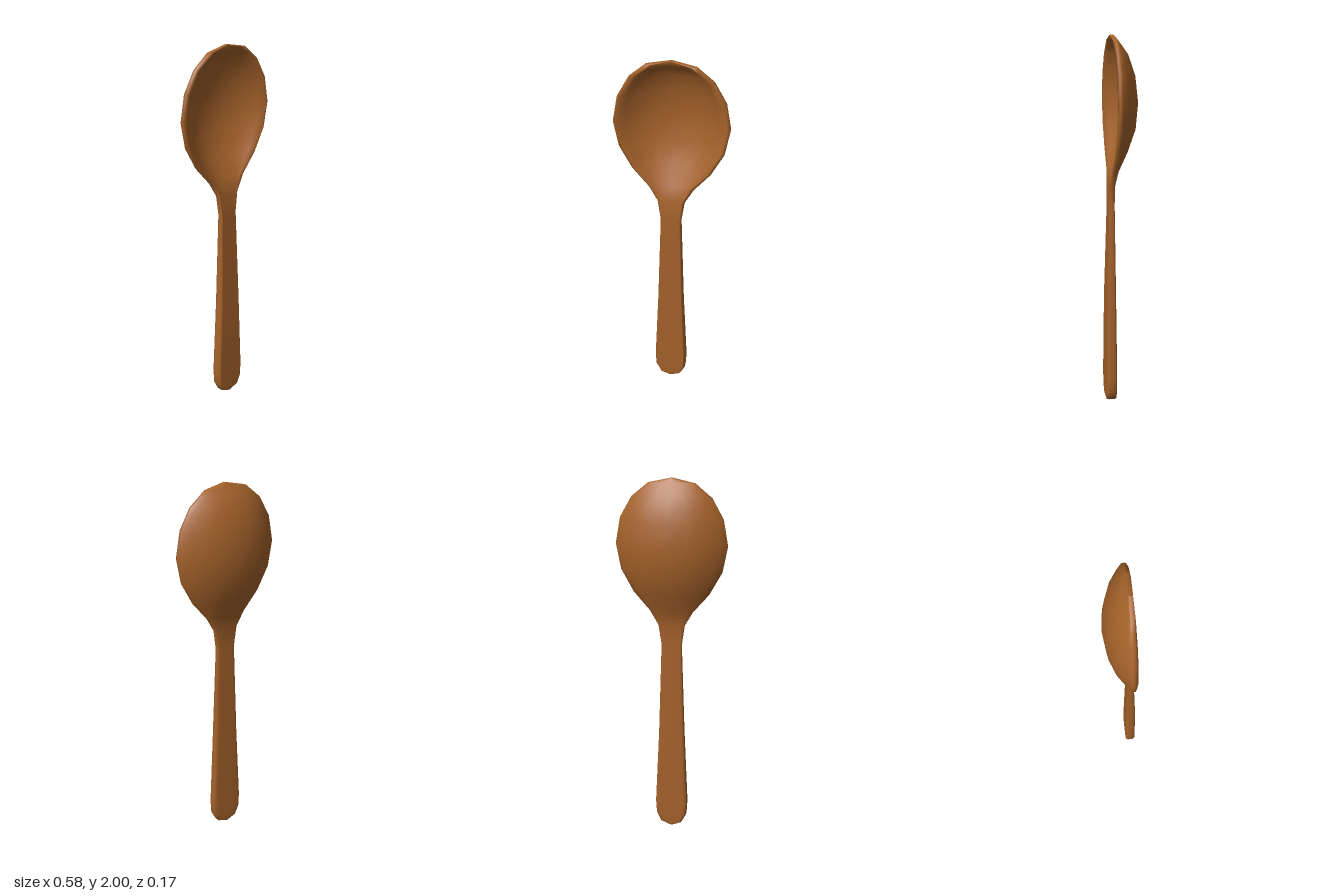
import * as THREE from 'three';

// Stations from handle end to bowl tip:
// y, half width, back z, edge z (back), edge z (front), front z, dish z, bowl shape 0..1
const STATIONS = [
  [0.005, 0, 0.037, 0.045, 0.07, 0.078, 0.078, 0],
  [0.03, 0.06, 0.03, 0.042, 0.072, 0.084, 0.084, 0],
  [0.08, 0.085, 0.029, 0.042, 0.072, 0.085, 0.085, 0],
  [0.16, 0.09, 0.029, 0.042, 0.072, 0.085, 0.085, 0],
  [0.6, 0.07, 0.032, 0.043, 0.07, 0.081, 0.081, 0],
  [1.12, 0.054, 0.037, 0.043, 0.058, 0.066, 0.066, 0],
  [1.23, 0.07, 0.036, 0.042, 0.053, 0.063, 0.062, 0.3],
  [1.31, 0.115, 0.015, 0.038, 0.05, 0.059, 0.038, 0.8],
  [1.41, 0.2, -0.033, 0.034, 0.048, 0.057, -0.018, 1],
  [1.53, 0.265, -0.074, 0.032, 0.047, 0.056, -0.06, 1],
  [1.665, 0.29, -0.086, 0.032, 0.047, 0.056, -0.074, 1],
  [1.8, 0.265, -0.071, 0.032, 0.047, 0.056, -0.058, 1],
  [1.905, 0.205, -0.034, 0.033, 0.047, 0.056, -0.02, 1],
  [1.95, 0.15, -0.002, 0.034, 0.047, 0.056, 0.018, 1],
  [1.975, 0.12, 0.017, 0.035, 0.048, 0.056, 0.054, 1],
  [2.0, 0, 0.034, 0.036, 0.049, 0.055, 0.055, 1],
];

// Half profile from edge to centre: [x fraction, depth fraction]
const BOWL = [[1, 0], [0.87, 0.27], [0.66, 0.62], [0.36, 0.9], [0, 1]];
const BAR = [[1, 0], [0.95, 0.7], [0.8, 1], [0.4, 1], [0, 1]];

// One closed cross-section, round the back and then across the front
function section([y, w, back, edgeBack, edgeFront, front, dish, bowl]) {
  const half = (halfWidth, edge, depth) => BOWL.map(([bx, bd], i) => [
    halfWidth * THREE.MathUtils.lerp(BAR[i][0], bx, bowl),
    THREE.MathUtils.lerp(edge, depth, THREE.MathUtils.lerp(BAR[i][1], bd, bowl)),
  ]);
  const mirror = (pts) => pts.slice(0, -1).reverse().map(([x, z]) => [-x, z]);
  const outer = half(w, edgeBack, back);
  const inner = half(w - Math.min(0.018, w * 0.12), front, dish).reverse();
  const innerLeft = inner.slice(1).reverse().map(([x, z]) => [-x, z]);
  return [...outer, ...mirror(outer), [-w, edgeFront], ...innerLeft, ...inner, [w, edgeFront]]
    .map(([x, z]) => [x, y, z]);
}

function loft(stations) {
  const rings = stations.map(section);
  const n = rings[0].length;
  const index = [];
  for (let r = 0; r < rings.length - 1; r++) {
    for (let j = 0; j < n; j++) {
      const a = r * n + j, b = r * n + (j + 1) % n;
      index.push(a, b, b + n, a, b + n, a + n);
    }
  }
  const geometry = new THREE.BufferGeometry();
  geometry.setAttribute('position', new THREE.Float32BufferAttribute(rings.flat(2), 3));
  geometry.setIndex(index);
  geometry.computeVertexNormals();
  return geometry;
}

export function createModel() {
  const group = new THREE.Group();
  group.name = 'spoon';
  const wood = new THREE.MeshStandardMaterial({ color: 0xa5622a });
  // Handle and bowl are one continuous carved surface
  const body = new THREE.Mesh(loft(STATIONS), wood);
  body.name = 'handleAndBowl';
  group.add(body);
  return group;
}
